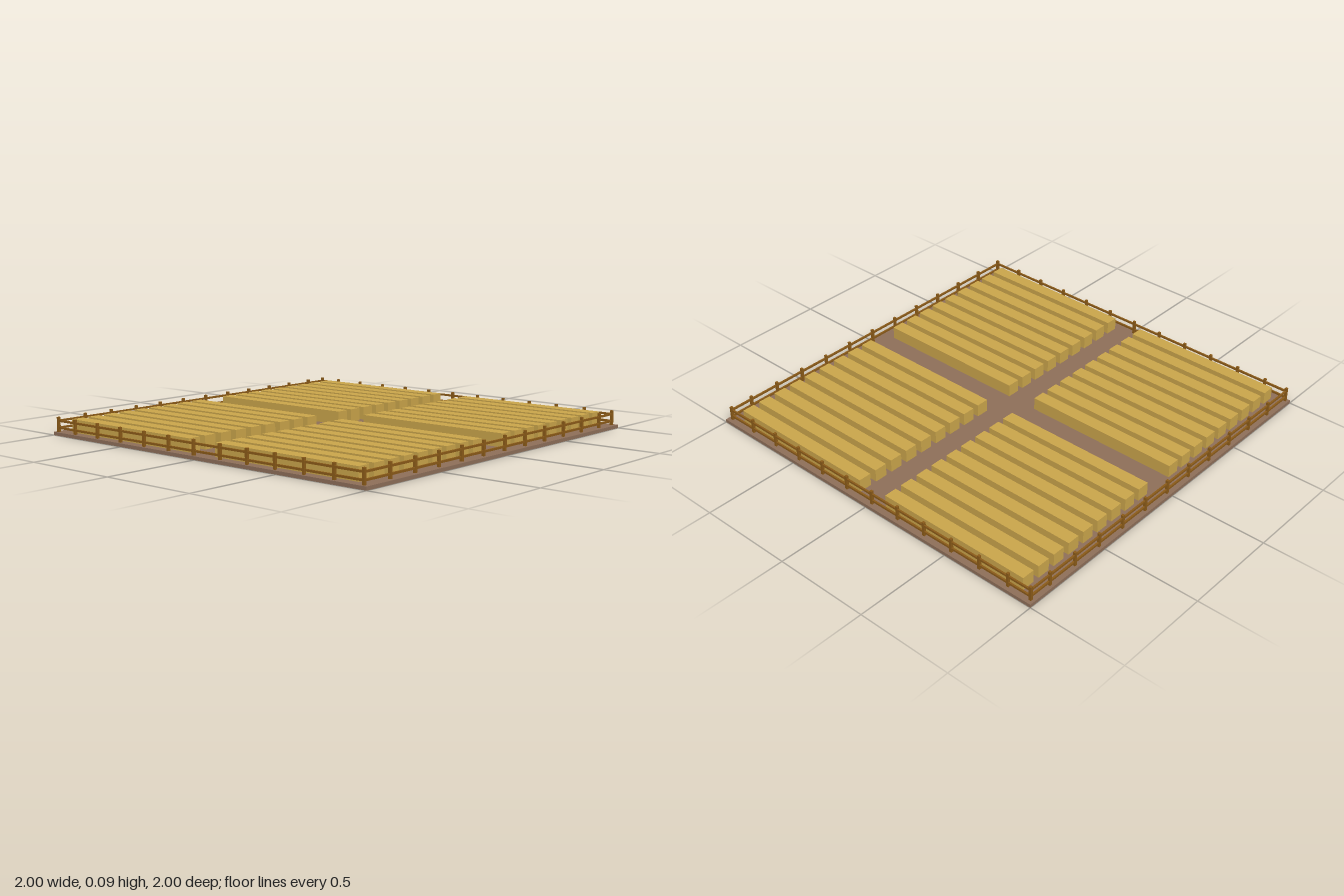
import * as THREE from 'three';

export function createModel() {
  const group = new THREE.Group();
  const soilMat = new THREE.MeshStandardMaterial({ color: 0x8d6e58 });
  const cropMat = new THREE.MeshStandardMaterial({ color: 0xc9a44a });
  const woodMat = new THREE.MeshStandardMaterial({ color: 0x8a5a18 });

  function box(name, parent, mat, size, pos) {
    const mesh = new THREE.Mesh(new THREE.BoxGeometry(...size), mat);
    mesh.position.set(...pos);
    mesh.name = name;
    parent.add(mesh);
  }

  // Flat soil slab
  const ground = 0.0167;
  box('soil', group, soilMat, [2, ground, 2], [0, ground / 2, 0]);

  // Four beds of nine crop rows, leaving a cross-shaped path
  for (const sx of [-1, 1]) {
    for (const sz of [-1, 1]) {
      const bed = new THREE.Group();
      bed.name = 'cropBed';
      for (let i = 0; i < 9; i++) {
        box('cropRow', bed, cropMat, [0.833, 0.0655, 0.0667],
          [sx * 0.5, ground + 0.0327, sz * (0.1167 + i * 0.1)]);
      }
      group.add(bed);
    }
  }

  // Fence: evenly spaced posts and two rails on every side
  const left = -0.98, right = 0.975, back = -0.975, front = 0.983;
  const postW = 0.013, postH = 0.074, step = 1 / 6;
  const post = (parent, x, z) =>
    box('fencePost', parent, woodMat, [postW, postH, postW], [x, ground + postH / 2, z]);
  const railHeights = [0.037, 0.072];

  for (const [name, z] of [['backFence', back], ['frontFence', front]]) {
    const fence = new THREE.Group();
    fence.name = name;
    for (let i = 0; i < 11; i++) post(fence, -0.853 + i * step, z);
    post(fence, left, z);
    post(fence, right, z);
    for (const y of railHeights) {
      box('fenceRail', fence, woodMat, [right - left, 0.01, 0.009], [(left + right) / 2, y, z]);
    }
    group.add(fence);
  }

  for (const [name, x] of [['leftFence', right], ['rightFence', left]]) {
    const fence = new THREE.Group();
    fence.name = name;
    for (let i = 1; i < 12; i++) post(fence, x, front - i * step);
    for (const y of railHeights) {
      box('fenceRail', fence, woodMat, [0.009, 0.01, front - back], [x, y, (front + back) / 2]);
    }
    group.add(fence);
  }

  return group;
}
